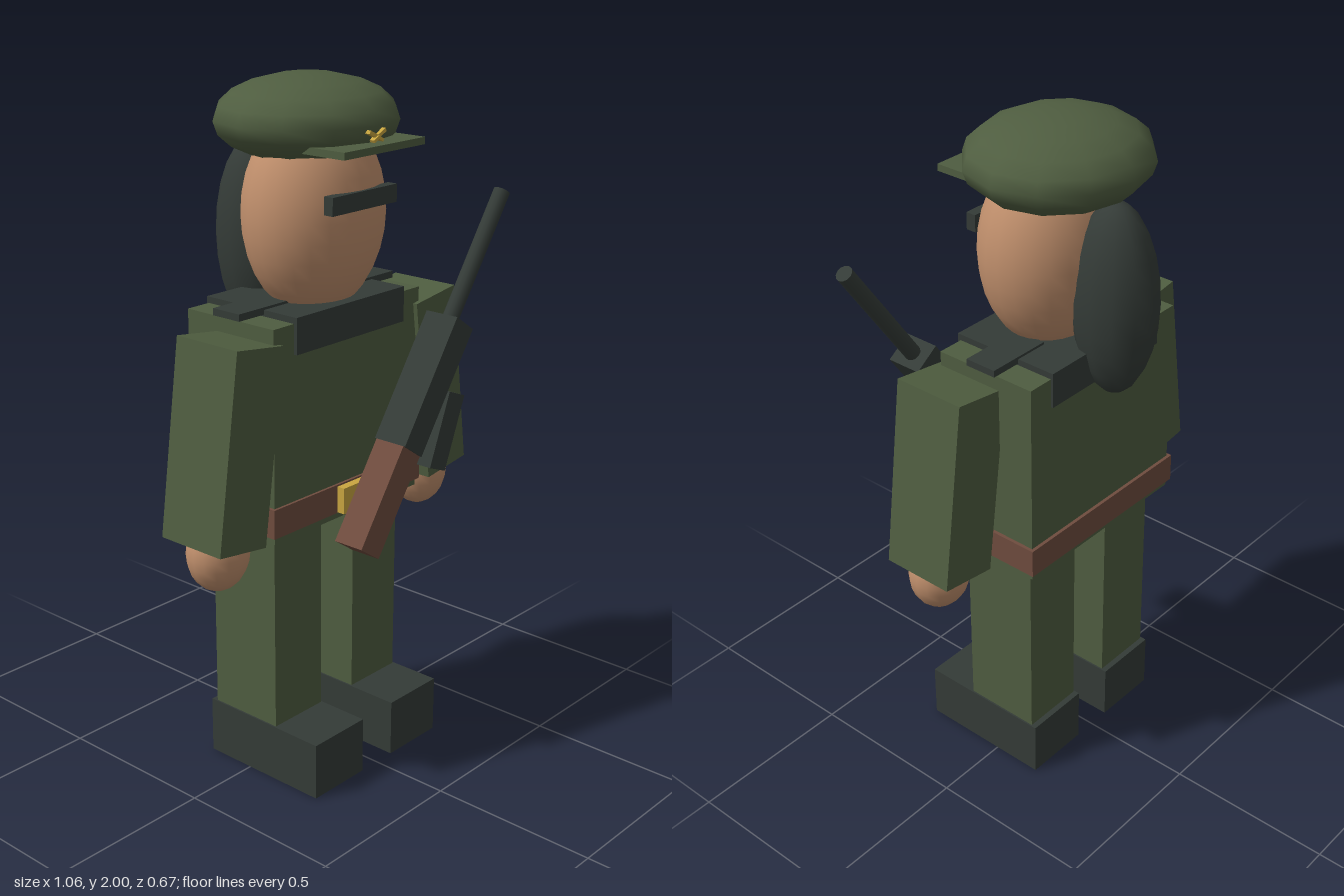
import * as THREE from 'three';

const material = (name, color) => {
  const m = new THREE.MeshStandardMaterial({ color });
  m.name = name;
  return m;
};

export function createModel() {
  const green = material('uniformGreen', 0x4f5d40);
  const dark = material('charcoal', 0x343b37);
  const brown = material('leatherBrown', 0x6f4c3e);
  const skin = material('skin', 0xc08f6c);
  const gold = material('gold', 0xc9a640);

  const model = new THREE.Group();
  model.name = 'soldier';

  const add = (name, geometry, mat, x, y, z, parent = model) => {
    const mesh = new THREE.Mesh(geometry, mat);
    mesh.name = name;
    mesh.position.set(x, y, z);
    parent.add(mesh);
    return mesh;
  };
  // Box given by its extents along each axis
  const box = (name, mat, [x0, x1], [y0, y1], [z0, z1], parent) =>
    add(name, new THREE.BoxGeometry(x1 - x0, y1 - y0, z1 - z0), mat,
      (x0 + x1) / 2, (y0 + y1) / 2, (z0 + z1) / 2, parent);
  const ellipsoid = (name, mat, [x, y, z], [rx, ry, rz], w, h) =>
    add(name, new THREE.SphereGeometry(1, w, h).scale(rx, ry, rz), mat, x, y, z);

  // Torso, belt and collar
  box('torso', green, [-0.305, 0.305], [0.765, 1.375], [-0.18, 0.14]);
  box('belt', brown, [-0.315, 0.315], [0.785, 0.87], [-0.19, 0.148]);
  box('buckle', gold, [-0.055, 0.055], [0.787, 0.865], [0.14, 0.173]);
  box('collar', dark, [-0.225, 0.225], [1.29, 1.393], [-0.187, 0.15]);

  // Limbs, mirrored left and right
  for (const [side, s] of [['left', 1], ['right', -1]]) {
    const span = (a, b) => (s > 0 ? [a, b] : [-b, -a]);
    box(side + 'Boot', dark, span(0.065, 0.27), [0, 0.17], [-0.155, 0.26]);
    box(side + 'Leg', green, span(0.07, 0.265), [0.17, 0.745], [-0.137, 0.1]);
    box(side + 'Epaulette', dark, span(0.12, 0.32), [1.38, 1.4], [-0.067, 0.03]);
    const arm = add(side + 'Arm', new THREE.BoxGeometry(0.176, 0.558, 0.222), green,
      s * 0.405, 1.065, 0.043);
    arm.rotation.z = s * 0.135;
    ellipsoid(side + 'Hand', skin, [s * 0.435, 0.76, 0.05], [0.093, 0.11, 0.083], 16, 12);
  }

  // Head, eyewear and hair
  ellipsoid('head', skin, [0, 1.625, 0.008], [0.22, 0.29, 0.183], 24, 16);
  box('eyewear', dark, [-0.132, 0.132], [1.655, 1.705], [0.162, 0.193]);
  ellipsoid('hair', dark, [0, 1.53, -0.21], [0.108, 0.28, 0.127], 12, 12);

  // Cap with brim and a small chevron badge
  ellipsoid('cap', green, [0, 1.88, -0.018], [0.27, 0.12, 0.25], 12, 10);
  box('capBrim', green, [-0.165, 0.165], [1.815, 1.835], [0.08, 0.26]);
  for (const s of [1, -1]) {
    const wing = add('badgeWing', new THREE.BoxGeometry(0.036, 0.01, 0.016), gold,
      s * 0.016, 1.86, 0.226);
    wing.rotation.z = s * 0.45;
    const tail = add('badgeTail', new THREE.BoxGeometry(0.022, 0.008, 0.016), gold,
      s * 0.009, 1.847, 0.23);
    tail.rotation.z = -s * 0.5;
  }

  // Rifle, slung diagonally with its local y along the barrel
  const rifle = new THREE.Group();
  rifle.name = 'rifle';
  rifle.position.set(0.055, 0.984, 0.276);
  rifle.rotation.z = -0.6;
  model.add(rifle);
  box('stock', brown, [-0.045, 0.045], [-0.309, 0], [-0.048, 0.048], rifle);
  box('receiver', dark, [-0.045, 0.045], [0, 0.392], [-0.054, 0.054], rifle);
  add('barrel', new THREE.CylinderGeometry(0.024, 0.024, 0.44, 12), dark, 0, 0.576, 0, rifle);
  const magazine = add('magazine', new THREE.BoxGeometry(0.074, 0.222, 0.118), dark,
    0.2, 1.007, 0.277);
  magazine.rotation.z = -0.378;

  return model;
}
